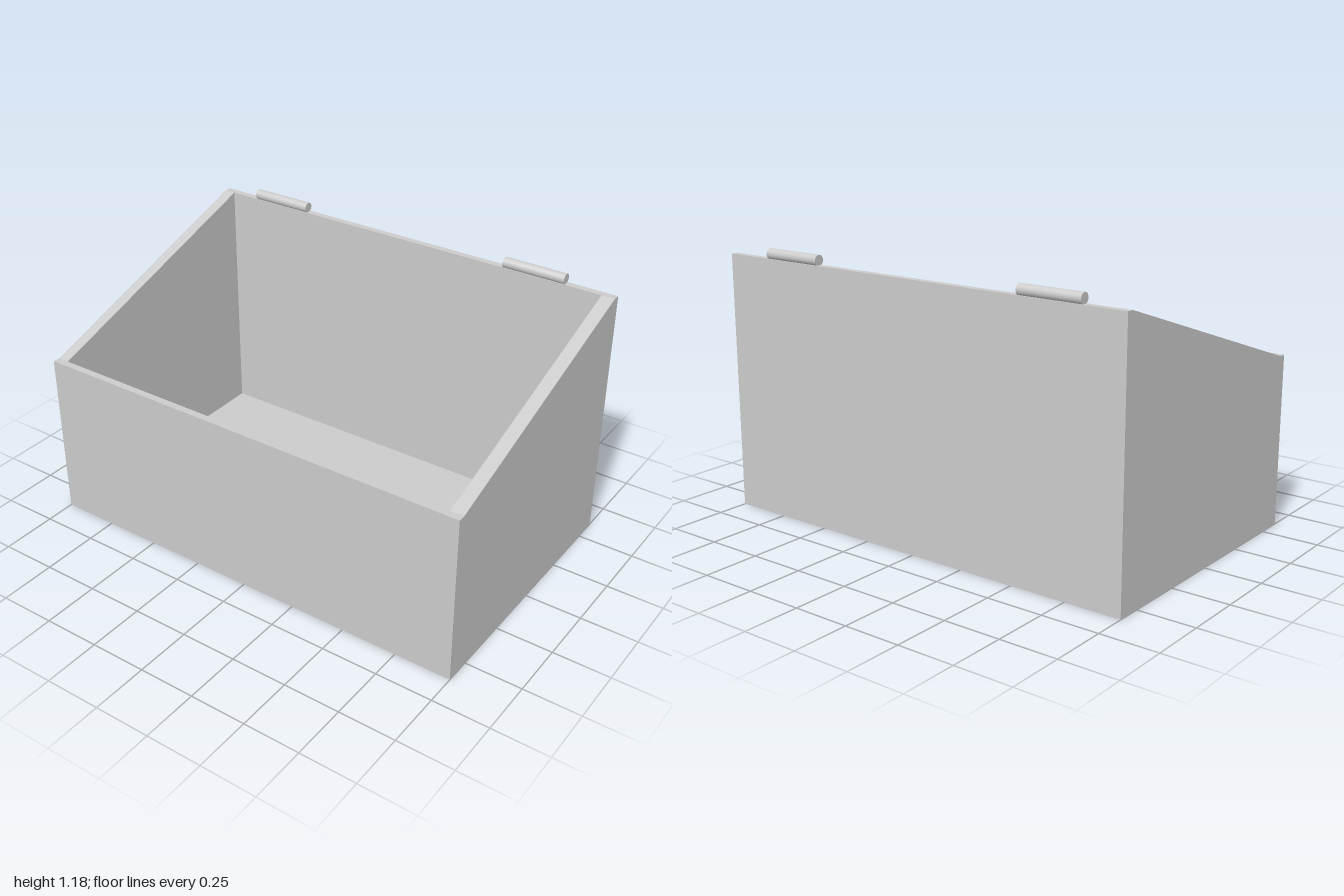
import * as THREE from 'three';

const material = new THREE.MeshStandardMaterial({ color: 0xcccccc });

// Outer and inner faces of the bin
const FRONT = 0.615, BACK = -0.608;
const INNER_FRONT = 0.583, INNER_BACK = -0.577;
const LEFT = 1, RIGHT = -1, INNER_LEFT = 0.942, INNER_RIGHT = -0.948;
const FRONT_H = 0.75, BACK_H = 1.134, FLOOR = 0.03;

function createModel() {
  const group = new THREE.Group();

  const add = (name, geometry) => {
    const mesh = new THREE.Mesh(geometry, material);
    mesh.name = name;
    group.add(mesh);
    return mesh;
  };

  const panel = (name, x0, x1, y0, y1, z0, z1) =>
    add(name, new THREE.BoxGeometry(x1 - x0, y1 - y0, z1 - z0))
      .position.set((x0 + x1) / 2, (y0 + y1) / 2, (z0 + z1) / 2);

  // Sloping side walls, drawn as (z, y) outlines
  const outline = new THREE.Shape([
    [FRONT, 0], [FRONT, FRONT_H], [INNER_FRONT, FRONT_H],
    [INNER_BACK, BACK_H], [BACK, BACK_H], [BACK, 0],
  ].map(([z, y]) => new THREE.Vector2(z, y)));
  const sideWall = (name, x0, x1) => {
    const geometry = new THREE.ExtrudeGeometry(outline, { depth: x1 - x0, bevelEnabled: false });
    geometry.rotateY(-Math.PI / 2).translate(x1, 0, 0);
    add(name, geometry);
  };
  sideWall('leftWall', INNER_LEFT, LEFT);
  sideWall('rightWall', RIGHT, INNER_RIGHT);

  // Low front wall, tall back wall and floor between the sides
  panel('frontWall', INNER_RIGHT, INNER_LEFT, 0, FRONT_H, INNER_FRONT, FRONT);
  panel('backWall', INNER_RIGHT, INNER_LEFT, 0, BACK_H, BACK, INNER_BACK);
  panel('floor', INNER_RIGHT, INNER_LEFT, 0, FLOOR, INNER_BACK, INNER_FRONT);

  // Hinge barrels on the back rim
  for (const [name, x] of [['rightHinge', -0.669], ['leftHinge', 0.633]]) {
    const barrel = new THREE.CylinderGeometry(0.023, 0.023, 0.285, 32).rotateZ(Math.PI / 2);
    add(name, barrel).position.set(x, 1.154, -0.592);
  }

  return group;
}

export { createModel };
